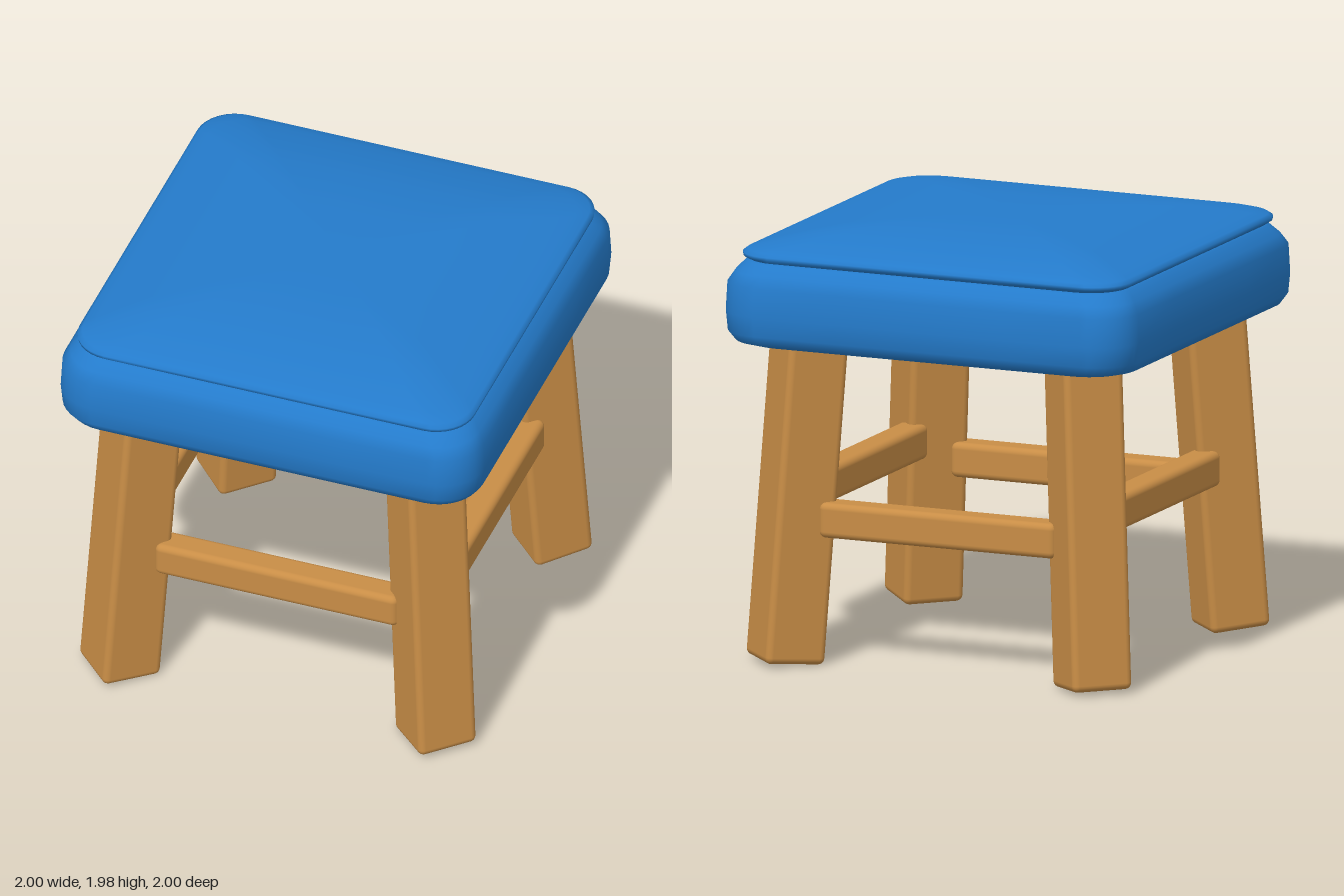
import * as THREE from 'three';
import { RoundedBoxGeometry } from 'three/addons/geometries/RoundedBoxGeometry.js';

// Points (x, z) round a square with rounded corners; side points keep shading even
function roundedSquare(half, radius) {
  const points = [];
  const inner = half - radius, arcSteps = 8, sideSteps = 4;
  for (let k = 0; k < 4; k++) {
    const turn = k * Math.PI / 2, c = Math.cos(turn), s = Math.sin(turn);
    const add = (x, z) => points.push([x * c - z * s, x * s + z * c]);
    for (let i = 1; i < sideSteps; i++) add(half, inner * (2 * i / sideSteps - 1));
    for (let i = 0; i <= arcSteps; i++) {
      const a = i / arcSteps * Math.PI / 2;
      add(inner + radius * Math.cos(a), inner + radius * Math.sin(a));
    }
  }
  return points;
}

// Skin through rounded squares stacked from bottom to top: [half width, height]
function loftCushion(profile, cornerRatio) {
  const positions = [], indices = [];
  let count = 0;
  for (const [half, y] of profile) {
    const ring = roundedSquare(half, half * cornerRatio);
    count = ring.length;
    for (const [x, z] of ring) positions.push(x, y, z);
  }
  for (let r = 0; r < profile.length - 1; r++) {
    for (let i = 0; i < count; i++) {
      const a = r * count + i, c = r * count + (i + 1) % count;
      indices.push(a, a + count, c, c, a + count, c + count);
    }
  }
  const geometry = new THREE.BufferGeometry();
  geometry.setAttribute('position', new THREE.Float32BufferAttribute(positions, 3));
  geometry.setIndex(indices);
  geometry.computeVertexNormals();
  return geometry;
}

export function createModel() {
  const model = new THREE.Group();
  model.name = 'stool';

  const fabric = new THREE.MeshStandardMaterial({ color: 0x247bcb });
  fabric.name = 'blue fabric';
  const wood = new THREE.MeshStandardMaterial({ color: 0xc88d46 });
  wood.name = 'oak wood';

  const addMesh = (parent, name, geometry, material) => {
    const mesh = new THREE.Mesh(geometry, material);
    mesh.name = name;
    parent.add(mesh);
    return mesh;
  };

  // Thick seat cushion
  addMesh(model, 'seatCushion', loftCushion([
    [0.001, 1.455], [0.87, 1.455], [0.91, 1.457], [0.966, 1.476], [0.993, 1.52], [1, 1.61],
    [0.994, 1.74], [0.965, 1.79], [0.925, 1.835], [0.9, 1.845], [0.001, 1.845],
  ], 0.2), fabric);

  // Domed top pad with a rolled rim
  addMesh(model, 'topPad', loftCushion([
    [0.001, 1.838], [0.88, 1.838], [0.915, 1.842], [0.935, 1.856], [0.937, 1.872], [0.92, 1.886],
    [0.87, 1.902], [0.79, 1.921], [0.69, 1.941], [0.59, 1.956], [0.45, 1.97],
    [0.31, 1.977], [0.15, 1.98], [0.001, 1.98],
  ], 0.19), fabric);

  // Four splayed legs, turned to face the corners
  const legGeometry = new RoundedBoxGeometry(0.282, 1.5, 0.282, 3, 0.03);
  ['frontLeftLeg', 'backLeftLeg', 'backRightLeg', 'frontRightLeg'].forEach((name, k) => {
    const corner = new THREE.Group();
    corner.name = name;
    corner.rotation.y = Math.PI / 4 + k * Math.PI / 2;
    model.add(corner);
    const leg = addMesh(corner, name + 'Post', legGeometry, wood);
    leg.position.set(0, 0.757, 1.003);
    leg.rotation.x = -0.079;
  });

  // Stretchers: front and back sit lower than the sides
  const railGeometry = new RoundedBoxGeometry(1.155, 0.16, 0.14, 3, 0.03);
  for (const side of [1, -1]) {
    const rail = addMesh(model, side > 0 ? 'frontStretcher' : 'backStretcher', railGeometry, wood);
    rail.position.set(0, 0.663, side * 0.715);
    const sideRail = addMesh(model, side > 0 ? 'leftStretcher' : 'rightStretcher', railGeometry, wood);
    sideRail.position.set(side * 0.715, 0.757, 0);
    sideRail.rotation.y = Math.PI / 2;
  }
  return model;
}
